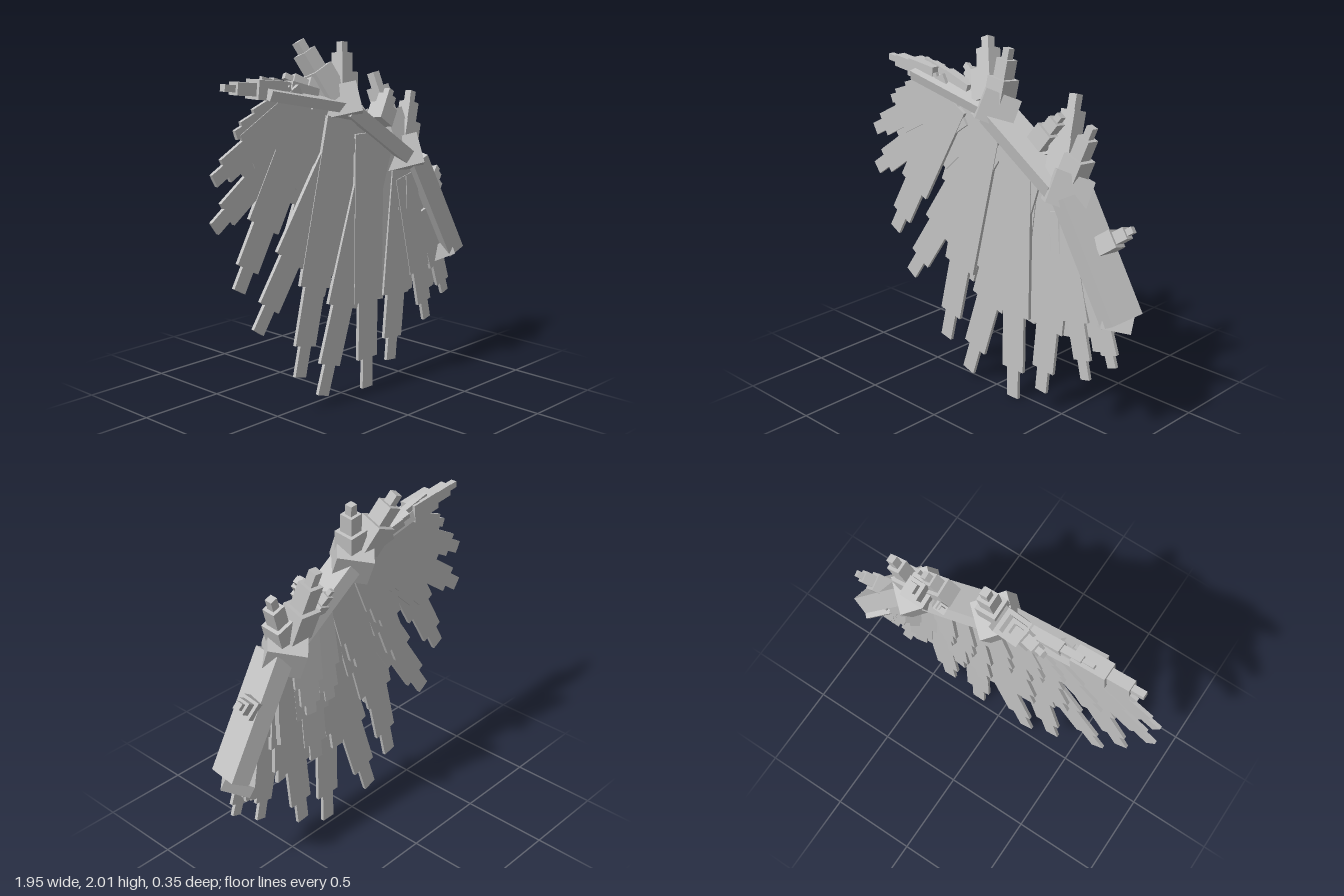
import * as THREE from 'three';

const stone = new THREE.MeshStandardMaterial({ color: 0xc2c2c2 });
stone.name = 'pale grey';

function box(parent, name, w, h, d, x, y, z) {
  const mesh = new THREE.Mesh(new THREE.BoxGeometry(w, h, d), stone);
  mesh.name = name;
  mesh.position.set(x, y, z);
  parent.add(mesh);
  return mesh;
}

// Stepped shaft running from root to tip: [start, end, width factor] per step
function stepped(parent, name, root, tip, width, depth, steps, square) {
  const a = new THREE.Vector3(...root), dir = new THREE.Vector3(...tip).sub(a);
  const len = dir.length(), g = new THREE.Group();
  g.name = name;
  g.position.copy(a);
  g.quaternion.setFromUnitVectors(new THREE.Vector3(0, 1, 0), dir.normalize());
  for (const [s, e, f] of steps)
    box(g, name + 'Step', width * f, (e - s) * len, square ? depth * f : depth, 0, (s + e) / 2 * len, 0);
  parent.add(g);
}

const featherSteps = [[0, 0.65, 1], [0.65, 0.88, 0.68], [0.88, 1, 0.36]];
const spikeSteps = [[0, 0.5, 1], [0.5, 0.82, 0.66], [0.82, 1, 0.36]];

// Flat arm bone, rolled so its front edge looks slightly down
function bone(parent, name, left, right, thick, depth, z, roll) {
  const dx = right[0] - left[0], dy = right[1] - left[1];
  const m = box(parent, name, Math.hypot(dx, dy), thick, depth,
    (left[0] + right[0]) / 2, (left[1] + right[1]) / 2, z);
  m.rotation.set(roll, 0, Math.atan2(dy, dx), 'ZYX');
}

// Joint block turned corner-forward and leaned back
function joint(parent, name, x, y, z, size, height, lean, roll) {
  const m = box(parent, name, size, height, size, x, y, z);
  m.rotation.set(lean, Math.PI / 4, roll, 'ZXY');
}

export function createModel() {
  const wing = new THREE.Group();
  wing.name = 'wing';

  // Arm bones and joints
  bone(wing, 'upperArmBone', [0.56, 1.3], [0.91, 0.7], 0.11, 0.2, 0.02, 0.22);
  bone(wing, 'forearmBone', [0.0, 1.64], [0.47, 1.33], 0.08, 0.19, 0.015, 0.2);
  bone(wing, 'handBone', [-0.59, 1.765], [0.0, 1.645], 0.055, 0.13, 0.02, 0.25);
  joint(wing, 'wristJoint', 0.0, 1.65, 0, 0.2, 0.17, -0.42, -0.12);
  joint(wing, 'elbowJoint', 0.51, 1.31, 0, 0.21, 0.18, -0.42, -0.08);
  joint(wing, 'shoulderJoint', 0.86, 0.68, 0.01, 0.16, 0.09, -0.4, 0.1);

  // Long flight feathers: root x, root y, tip x, tip y, width
  [
    [-0.4, 1.72, -0.8, 1.57, 0.14],
    [-0.32, 1.7, -0.95, 1.36, 0.2],
    [-0.25, 1.62, -0.95, 1.12, 0.22],
    [-0.3, 1.65, -0.8, 0.77, 0.23],
    [0.0, 1.5, -0.67, 0.52, 0.23],
    [-0.04, 1.58, -0.37, 0.2, 0.23],
    [0.26, 1.42, -0.19, 0.045, 0.24],
    [0.18, 1.48, 0.17, 0.0, 0.23],
    [0.49, 1.24, 0.38, 0.115, 0.22],
    [0.49, 1.2, 0.7, 0.3, 0.17],
    [0.69, 0.98, 0.875, 0.43, 0.16],
  ].forEach(([rx, ry, tx, ty, w], i) => {
    const z = 0.036 + (i % 2) * 0.004;
    stepped(wing, 'flightFeather', [rx, ry, z], [tx, ty, z], w, 0.02, featherSteps);
  });

  // Middle and short covert feathers layered behind
  [
    [-0.12, 1.62, -0.62, 1.15, 0.22], [-0.1, 1.62, -0.42, 0.86, 0.23],
    [0.08, 1.55, -0.2, 0.62, 0.24], [0.24, 1.45, 0.11, 0.5, 0.22],
    [0.34, 1.38, 0.28, 0.5, 0.22], [0.52, 1.2, 0.56, 0.5, 0.2],
    [0.62, 1.1, 0.76, 0.48, 0.16], [0.8, 0.85, 0.8, 0.5, 0.13],
  ].forEach(([rx, ry, tx, ty, w], i) => {
    const z = 0.018 - (i % 2) * 0.004;
    stepped(wing, 'middleCovert', [rx, ry, z + 0.004], [tx, ty, z], w, 0.02, featherSteps);
    const k = 0.62;
    stepped(wing, 'shortCovert', [rx + 0.03, ry, 0],
      [rx + 0.03 + (tx - rx) * k, ry + (ty - ry) * k, z - 0.022], w * 0.8, 0.02, featherSteps);
  });

  // Stubby stepped spikes along the leading edge: root, tip, width
  [
    [[-0.06, 1.68, -0.01], [-0.195, 1.99, -0.13], 0.14],
    [[0.01, 1.66, 0], [0.05, 1.98, -0.04], 0.12],
    [[0.47, 1.34, 0], [0.425, 1.78, -0.15], 0.14],
    [[0.51, 1.33, 0], [0.63, 1.665, -0.04], 0.12],
    [[0.31, 1.52, 0], [0.43, 1.69, -0.03], 0.11],
    [[0.74, 1.06, 0], [0.9, 1.18, -0.06], 0.1],
    [[-0.1, 1.7, -0.02], [-0.33, 1.82, -0.1], 0.09],
    [[0.34, 1.45, -0.03], [0.27, 1.6, -0.11], 0.07],
    [[-0.45, 1.76, 0.0], [-0.845, 1.805, 0.0], 0.1],
    [[-0.2, 1.72, 0.0], [-0.57, 1.83, -0.02], 0.06],
  ].forEach(([r, t, w]) => stepped(wing, 'edgeSpike', r, t, w, w, spikeSteps, true));

  return wing;
}
